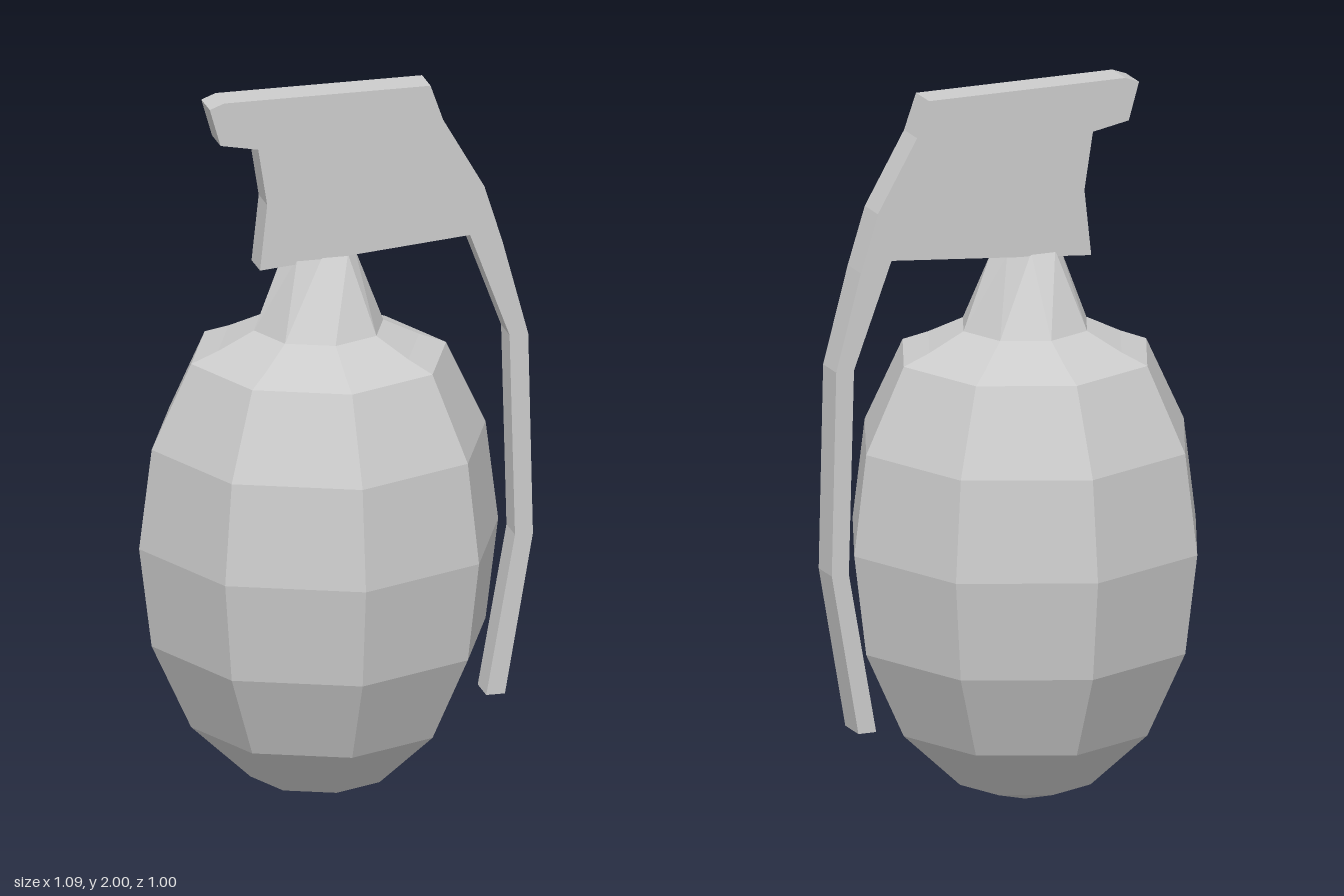
import * as THREE from 'three';

const CENTER_X = -0.045;
const SIDES = 8;

const material = new THREE.MeshStandardMaterial({ color: 0xcccccc, flatShading: true });

function addMesh(group, name, geometry) {
  const mesh = new THREE.Mesh(geometry, material);
  mesh.name = name;
  group.add(mesh);
  return mesh;
}

const toVectors = (pairs) => pairs.map(([x, y]) => new THREE.Vector2(x, y));

// Eight-sided egg-shaped body with a sloping shoulder, as [radius, height]
function bodyGeometry() {
  return new THREE.LatheGeometry(toVectors([
    [0, 0], [0.19, 0.06], [0.355, 0.215], [0.465, 0.455], [0.5, 0.735],
    [0.465, 1.015], [0.355, 1.25], [0.28, 1.28], [0.18, 1.33],
  ]), SIDES);
}

// Neck: octagonal at the base, pinched to the lever's thickness at the top
function neckGeometry() {
  const base = 1.33, top = 1.54;
  const geometry = new THREE.CylinderGeometry(0.1, 0.18, top - base, SIDES);
  geometry.translate(0, (base + top) / 2, 0);
  const position = geometry.attributes.position;
  for (let i = 0; i < position.count; i++) {
    if (position.getY(i) > base + 0.1) {
      position.setZ(i, THREE.MathUtils.clamp(position.getZ(i), -0.042, 0.042));
    }
  }
  return geometry;
}

// Flat lever plate: hooked head on top, long bent handle down the left side
function leverGeometry() {
  const thickness = 0.09;
  const outline = new THREE.Shape(toVectors([
    [-0.32, 2], [-0.36, 1.985], [-0.33, 1.88], [-0.225, 1.86], [-0.2, 1.7], [-0.22, 1.515],
    [0.365, 1.565], [0.475, 1.27], [0.49, 0.7], [0.41, 0.25],
    [0.462, 0.25], [0.54, 0.7], [0.527, 1.27], [0.455, 1.54], [0.405, 1.7], [0.29, 1.9], [0.255, 2],
  ]));
  const geometry = new THREE.ExtrudeGeometry(outline, { depth: thickness, bevelEnabled: false });
  return geometry.translate(0, 0, -thickness / 2);
}

export function createModel() {
  const model = new THREE.Group();
  model.name = 'grenade';
  addMesh(model, 'body', bodyGeometry()).position.x = CENTER_X;
  addMesh(model, 'neck', neckGeometry()).position.x = CENTER_X;
  addMesh(model, 'lever', leverGeometry());
  return model;
}
